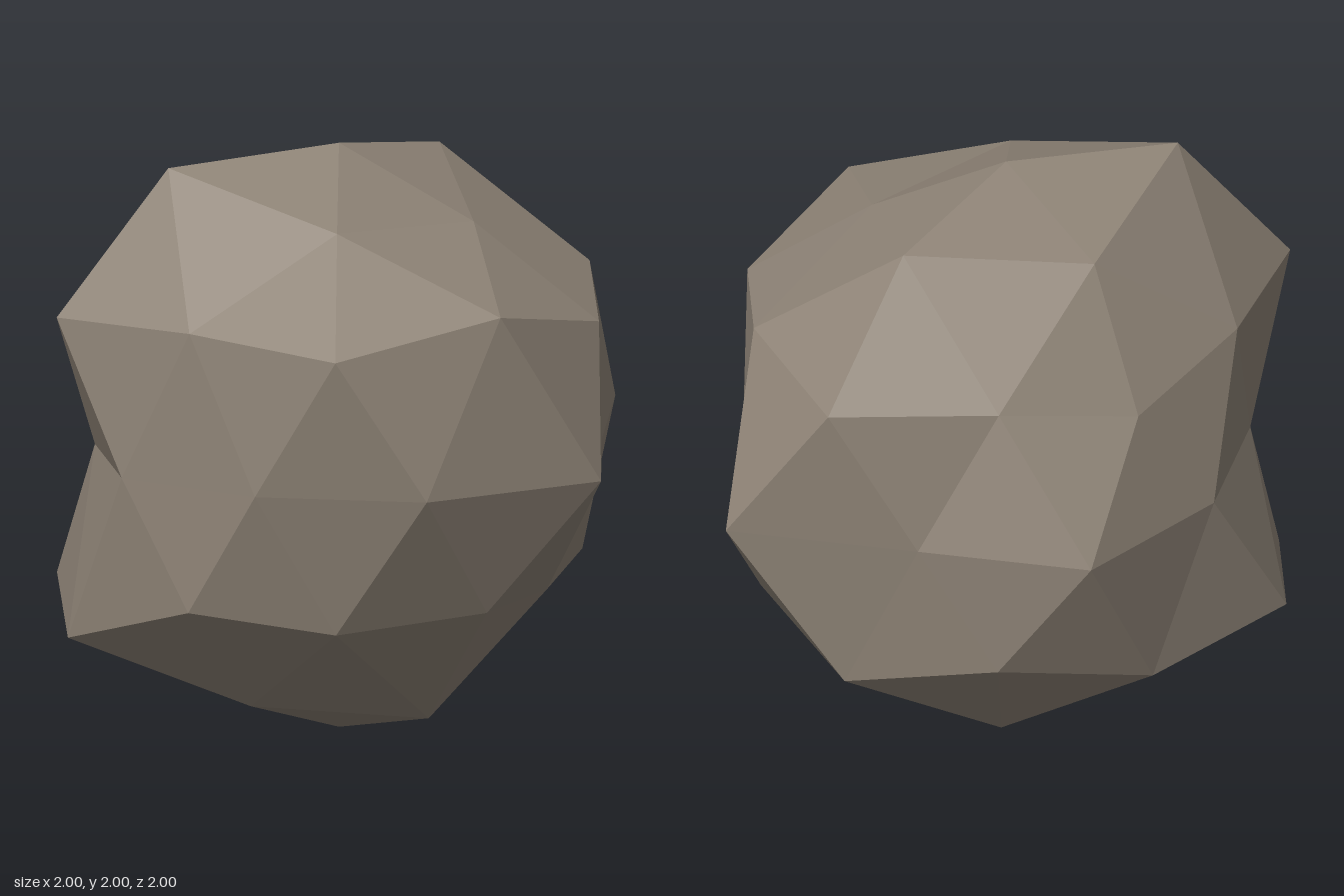
import * as THREE from 'three';

// Faceted boulder: a once-subdivided icosphere, each corner pushed in or out.
export function createModel() {
  const centre = new THREE.Vector3(-0.12, 0.977, -0.072);
  const stretch = new THREE.Vector3(1.023, 1, 0.963);

  // Corner at a latitude and azimuth (degrees), at distance r from the centre
  const corner = (lat, az, r) => {
    const p = THREE.MathUtils.degToRad(lat), t = THREE.MathUtils.degToRad(az);
    return new THREE.Vector3(Math.cos(p) * Math.cos(t), Math.sin(p), Math.cos(p) * Math.sin(t))
      .multiplyScalar(r).multiply(stretch).add(centre);
  };
  const ring = (lat, start, radii) =>
    radii.map((r, i) => corner(lat, start + (i * 360) / radii.length, r));

  // Rings of corners from top to bottom
  const top = corner(90, 0, 1.023);
  const a = ring(58.28, 0, [1.084, 0.92, 0.968, 1.156, 1.017]);
  const m = ring(31.72, 36, [1.049, 1.119, 1.0, 0.982, 0.915]);
  const b = ring(26.57, 0, [1.103, 1.044, 1.076, 1.124, 0.894]);
  const e = ring(0, 18, [1.151, 0.894, 1.112, 1.006, 0.89, 0.905, 0.83, 0.894, 1.036, 0.883]);
  const c = ring(-26.57, 36, [0.969, 0.974, 0.959, 1.132, 0.985]);
  const n = ring(-31.72, 0, [1.052, 0.878, 0.93, 1.135, 1.044]);
  const d = ring(-58.28, 36, [0.81, 1.006, 0.956, 0.915, 0.996]);
  const bottom = corner(-90, 0, 0.977);

  // Sixteen facets in each of five sectors
  const points = [];
  const tri = (p, q, r) => points.push(r, q, p);
  for (let k = 0; k < 5; k++) {
    const j = (k + 1) % 5;
    const e0 = e[2 * k], e1 = e[2 * k + 1], e2 = e[(2 * k + 2) % 10];
    // upper cap
    tri(top, a[k], a[j]);
    tri(a[k], b[k], m[k]);
    tri(a[k], m[k], a[j]);
    tri(a[j], m[k], b[j]);
    // middle band
    tri(b[k], e0, m[k]);
    tri(m[k], e0, e1);
    tri(m[k], e1, b[j]);
    tri(e0, c[k], e1);
    tri(c[k], n[j], e1);
    tri(e1, n[j], e2);
    tri(e2, n[j], c[j]);
    tri(e1, e2, b[j]);
    // lower cap
    tri(c[k], d[k], n[j]);
    tri(n[j], d[k], d[j]);
    tri(n[j], d[j], c[j]);
    tri(d[k], bottom, d[j]);
  }
  const geometry = new THREE.BufferGeometry().setFromPoints(points);
  geometry.computeVertexNormals(); // unshared corners keep the facets flat

  const stone = new THREE.MeshStandardMaterial({ color: 0x8f8477 });
  stone.name = 'stone';
  stone.flatShading = true;
  const rock = new THREE.Mesh(geometry, stone);
  rock.name = 'boulder';

  const group = new THREE.Group();
  group.name = 'rock';
  group.add(rock);
  return group;
}
